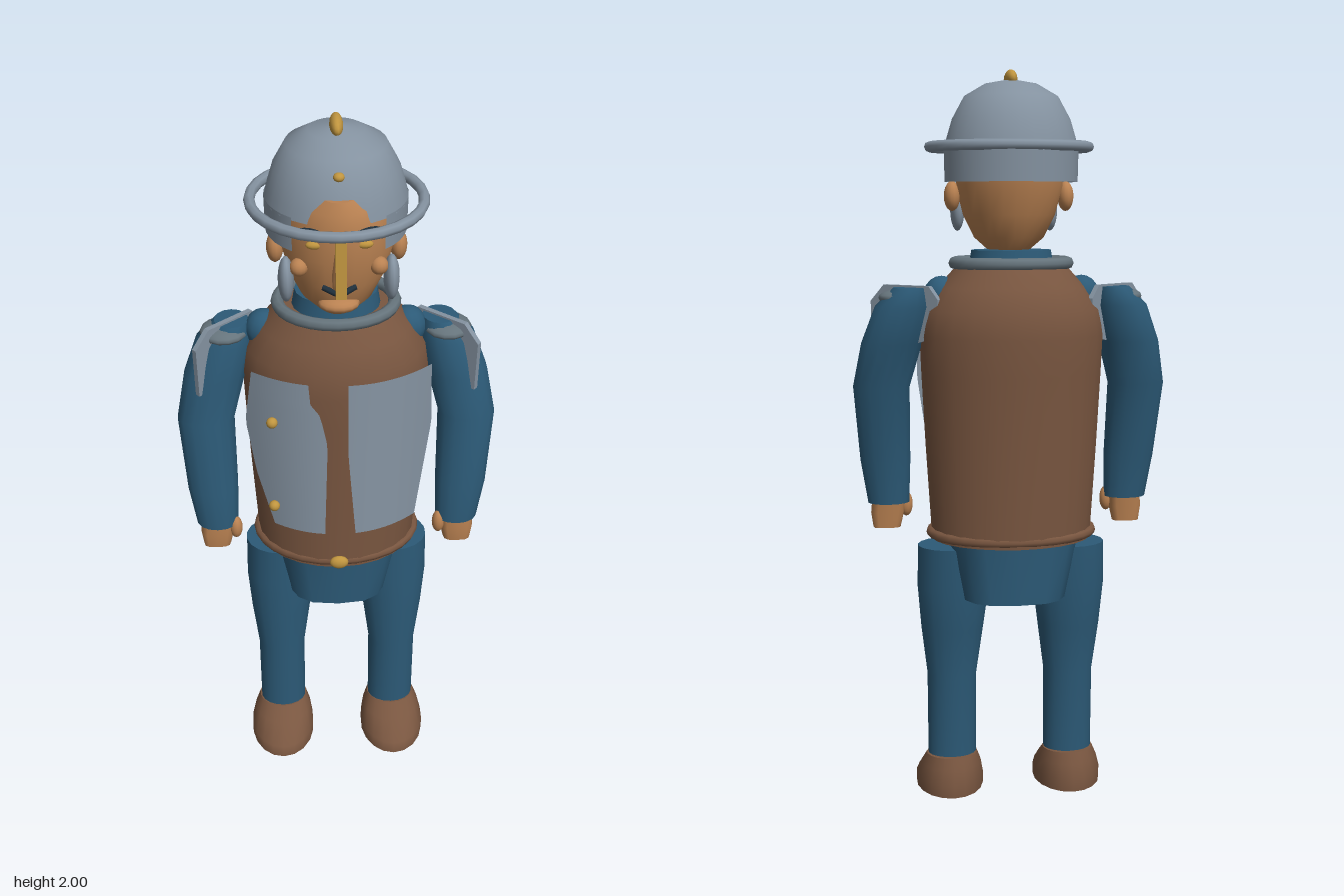
import * as THREE from 'three';

const mat = (name, color, side = THREE.FrontSide) => {
  const m = new THREE.MeshStandardMaterial({ color, side });
  m.name = name;
  return m;
};

// Closed body through horizontal elliptical rings [y, cx, cz, rx, rz], listed bottom to top.
// A power below 1 squares off the cross-section.
function loft(rings, n = 20, power = 1) {
  const pos = [], idx = [];
  const bend = v => Math.sign(v) * Math.abs(v) ** power;
  const addRing = ([y, cx, cz, rx, rz]) => {
    for (let i = 0; i < n; i++) {
      const a = (i / n) * Math.PI * 2;
      pos.push(cx + rx * bend(Math.sin(a)), y, cz + rz * bend(Math.cos(a)));
    }
  };
  rings.forEach(addRing);
  for (let j = 0; j < rings.length - 1; j++) {
    for (let i = 0; i < n; i++) {
      const a = j * n + i, b = j * n + (i + 1) % n;
      idx.push(a, b, b + n, a, b + n, a + n);
    }
  }
  // separate cap vertices keep the rims crisp
  [[rings[0], false], [rings[rings.length - 1], true]].forEach(([r, top]) => {
    const start = pos.length / 3;
    addRing(r);
    pos.push(r[1], r[0], r[2]);
    for (let i = 0; i < n; i++) {
      const a = start + i, b = start + (i + 1) % n;
      idx.push(start + n, top ? a : b, top ? b : a);
    }
  });
  const g = new THREE.BufferGeometry();
  g.setAttribute('position', new THREE.Float32BufferAttribute(pos, 3));
  g.setIndex(idx);
  g.computeVertexNormals();
  return g;
}

// Linear lookup in a list of [y, value], ascending in y
function lookup(list, y) {
  for (let i = 1; i < list.length; i++) {
    const [y0, v0] = list[i - 1], [y1, v1] = list[i];
    if (y <= y1) return v0 + (v1 - v0) * Math.max(0, (y - y0) / (y1 - y0));
  }
  return list[list.length - 1][1];
}

// Curved breast panel between an inner and an outer edge
function panelGeometry(s, inner, outer) {
  const g = new THREE.PlaneGeometry(1, 1, 10, 16);
  const p = g.attributes.position;
  for (let i = 0; i < p.count; i++) {
    const v = p.getY(i) + 0.5, y = 0.9 + 0.46 * v;
    const u = s > 0 ? p.getX(i) + 0.5 : 0.5 - p.getX(i);
    const x = THREE.MathUtils.lerp(lookup(inner, y), lookup(outer, y), u);
    const front = 0.2 - 0.022 * v;
    p.setXYZ(i, s * x, y, front - (front - 0.08) * (x / 0.245) ** 2.2);
  }
  g.computeVertexNormals();
  return g;
}

export function createModel() {
  const model = new THREE.Group();
  model.name = 'guard';
  const steel = mat('steel', 0x8492a0, THREE.DoubleSide);
  const darkSteel = mat('dark steel', 0x66747c);
  const blue = mat('blue cloth', 0x2c5a77);
  const brown = mat('brown leather', 0x795640);
  const skin = mat('skin', 0xba8252);
  const gold = mat('gold', 0xc0953f);
  const dark = mat('dark hair', 0x20303c);

  const add = (name, geometry, material, x = 0, y = 0, z = 0) => {
    const m = new THREE.Mesh(geometry, material);
    m.name = name;
    m.position.set(x, y, z);
    model.add(m);
    return m;
  };
  const ball = (name, material, x, y, z, rx, ry = rx, rz = rx) => {
    const m = add(name, new THREE.SphereGeometry(1, 14, 10), material, x, y, z);
    m.scale.set(rx, ry, rz);
    return m;
  };
  const ringAround = (name, material, y, z, rx, rz, tube) => {
    const g = new THREE.TorusGeometry(rx, tube, 8, 28).rotateX(Math.PI / 2);
    const m = add(name, g, material, 0, y, z);
    m.scale.z = rz / rx;
    return m;
  };
  const strand = (name, material, points, r) => add(name, new THREE.TubeGeometry(
    new THREE.CatmullRomCurve3(points.map(p => new THREE.Vector3(...p))), 8, r, 6), material);

  // Torso, belt, hips and collar
  add('tunic', loft([
    [0.74, 0, -0.033, 0.22, 0.18], [1.0, 0, -0.035, 0.236, 0.187], [1.2, 0, -0.038, 0.246, 0.195],
    [1.3, 0, -0.04, 0.25, 0.2], [1.37, 0, -0.04, 0.24, 0.195], [1.43, 0, -0.038, 0.2, 0.17],
    [1.485, 0, -0.035, 0.15, 0.135]], 24), brown);
  ringAround('belt', brown, 0.757, -0.033, 0.222, 0.172, 0.014);
  ball('buckle', gold, 0, 0.76, 0.15, 0.026, 0.02, 0.014);
  add('hips', loft([[0.58, 0, -0.035, 0.145, 0.155], [0.745, 0, -0.035, 0.18, 0.16]], 16, 0.7), blue);
  ringAround('collar', darkSteel, 1.493, -0.032, 0.153, 0.132, 0.017);
  add('neck', loft([[1.46, 0, -0.035, 0.12, 0.1], [1.528, 0, -0.035, 0.108, 0.09]]), blue);

  // Breast panels and buttons
  add('leftPanel', panelGeometry(1, [[0.9, 0.042], [1.15, 0.022], [1.36, 0.022]],
    [[0.9, 0.208], [1.18, 0.25], [1.36, 0.243]]), steel);
  add('rightPanel', panelGeometry(-1, [[0.9, 0.04], [1.18, 0.032], [1.27, 0.05], [1.3, 0.075], [1.36, 0.08]],
    [[0.9, 0.175], [1.05, 0.22], [1.2, 0.245], [1.36, 0.225]]), steel);
  [0.965, 1.235].forEach(y => ball('button', gold, -0.175, y, 0.15, 0.015));

  // Head and face
  add('head', loft([
    [1.525, 0, 0.02, 0.055, 0.08], [1.56, 0, 0.015, 0.095, 0.115], [1.62, 0, 0.012, 0.125, 0.135],
    [1.7, 0, 0.008, 0.145, 0.16], [1.78, 0, 0.005, 0.135, 0.162], [1.82, 0, 0.01, 0.11, 0.15],
    [1.85, 0, 0.01, 0.07, 0.138]], 24), skin);
  add('nose', loft([[1.635, 0, 0.155, 0.018, 0.035], [1.66, 0, 0.16, 0.02, 0.035],
    [1.76, 0, 0.155, 0.01, 0.02]], 10), skin);
  ball('chin', skin, 0, 1.568, 0.12, 0.052, 0.021, 0.038);
  strand('moustache', dark, [[-0.04, 1.625, 0.142], [0, 1.616, 0.162], [0.04, 1.625, 0.142]], 0.008);

  // Helmet
  const dome = [[0.18, 1.79], [0.173, 1.82], [0.158, 1.87], [0.125, 1.93], [0.07, 1.962], [0, 1.975]];
  add('helmetDome', new THREE.LatheGeometry(dome.map(p => new THREE.Vector2(...p)), 28), steel, 0, 0, -0.03);
  add('helmetBand', new THREE.CylinderGeometry(0.18, 0.178, 0.09, 28, 1, true, 0.69, Math.PI * 2 - 1.38),
    steel, 0, 1.752, -0.03);
  ringAround('helmetBrim', steel, 1.8, 0.01, 0.215, 0.215, 0.014);
  ball('crest', gold, 0, 1.975, -0.022, 0.017, 0.025, 0.05);
  ball('rivet', gold, 0, 1.9, 0.112, 0.014, 0.011, 0.014);
  const bar = add('noseGuard', new THREE.BoxGeometry(0.026, 0.15, 0.025), gold, 0, 1.715, 0.218);
  bar.rotation.x = -0.06;
  ball('noseGuardTip', gold, 0, 1.785, 0.208, 0.016);

  for (const s of [1, -1]) {
    // Facial features and cheek guards
    ball('eye', gold, s * 0.06, 1.743, 0.147, 0.022, 0.011, 0.012);
    strand('eyebrow', dark, [[s * 0.025, 1.772, 0.172], [s * 0.07, 1.785, 0.158], [s * 0.11, 1.77, 0.13]], 0.008);
    ball('cheek', skin, s * 0.098, 1.673, 0.125, 0.023);
    ball('ear', skin, s * 0.155, 1.67, 0.008, 0.022, 0.04, 0.03);
    ball('cheekGuard', steel, s * 0.13, 1.635, 0.113, 0.02, 0.06, 0.038);

    // Arm, shoulder armour and hand
    ball('shoulderJoint', blue, s * 0.19, 1.405, -0.045, 0.05, 0.055, 0.05);
    add('sleeve', loft([
      [0.83, s * 0.335, 0.035, 0.058, 0.045], [0.95, s * 0.343, 0.027, 0.07, 0.052],
      [1.16, s * 0.353, -0.008, 0.078, 0.06], [1.28, s * 0.325, -0.035, 0.083, 0.07],
      [1.38, s * 0.295, -0.05, 0.075, 0.075], [1.43, s * 0.275, -0.055, 0.045, 0.05]], 14), blue);
    ball('shoulderPad', darkSteel, s * 0.295, 1.403, -0.04, 0.064, 0.023, 0.066);
    const outline = [[-0.11, 1.3], [0.09, 1.25], [0.112, 1.25], [0.115, 1.39], [0.07, 1.435], [-0.08, 1.435], [-0.11, 1.4]];
    const plate = new THREE.ExtrudeGeometry(
      new THREE.Shape(outline.map(([u, y]) => new THREE.Vector2(s * u, y))), { depth: 0.015, bevelEnabled: false });
    add('shoulderPlate', plate, steel, s * 0.29, 0, -0.045).rotation.y = -s * 0.72;
    add('hand', loft([[0.758, s * 0.34, 0.042, 0.038, 0.024], [0.8, s * 0.338, 0.042, 0.046, 0.03],
      [0.845, s * 0.335, 0.038, 0.045, 0.032]], 12, 0.7), skin);
    ball('thumb', skin, s * 0.285, 0.82, 0.052, 0.018, 0.035, 0.02);

    // Leg and shoe
    add('leg', loft([
      [0.09, s * 0.166, -0.005, 0.068, 0.054], [0.34, s * 0.166, -0.008, 0.069, 0.06],
      [0.48, s * 0.165, -0.018, 0.087, 0.075], [0.6, s * 0.162, -0.027, 0.1, 0.085],
      [0.72, s * 0.16, -0.032, 0.1, 0.088]], 18), blue);
    add('shoe', loft([[0, s * 0.17, 0.033, 0.095, 0.132], [0.035, s * 0.17, 0.03, 0.095, 0.13],
      [0.075, s * 0.168, 0.005, 0.085, 0.092], [0.107, s * 0.167, -0.01, 0.072, 0.064]], 18), brown);
  }
  return model;
}
